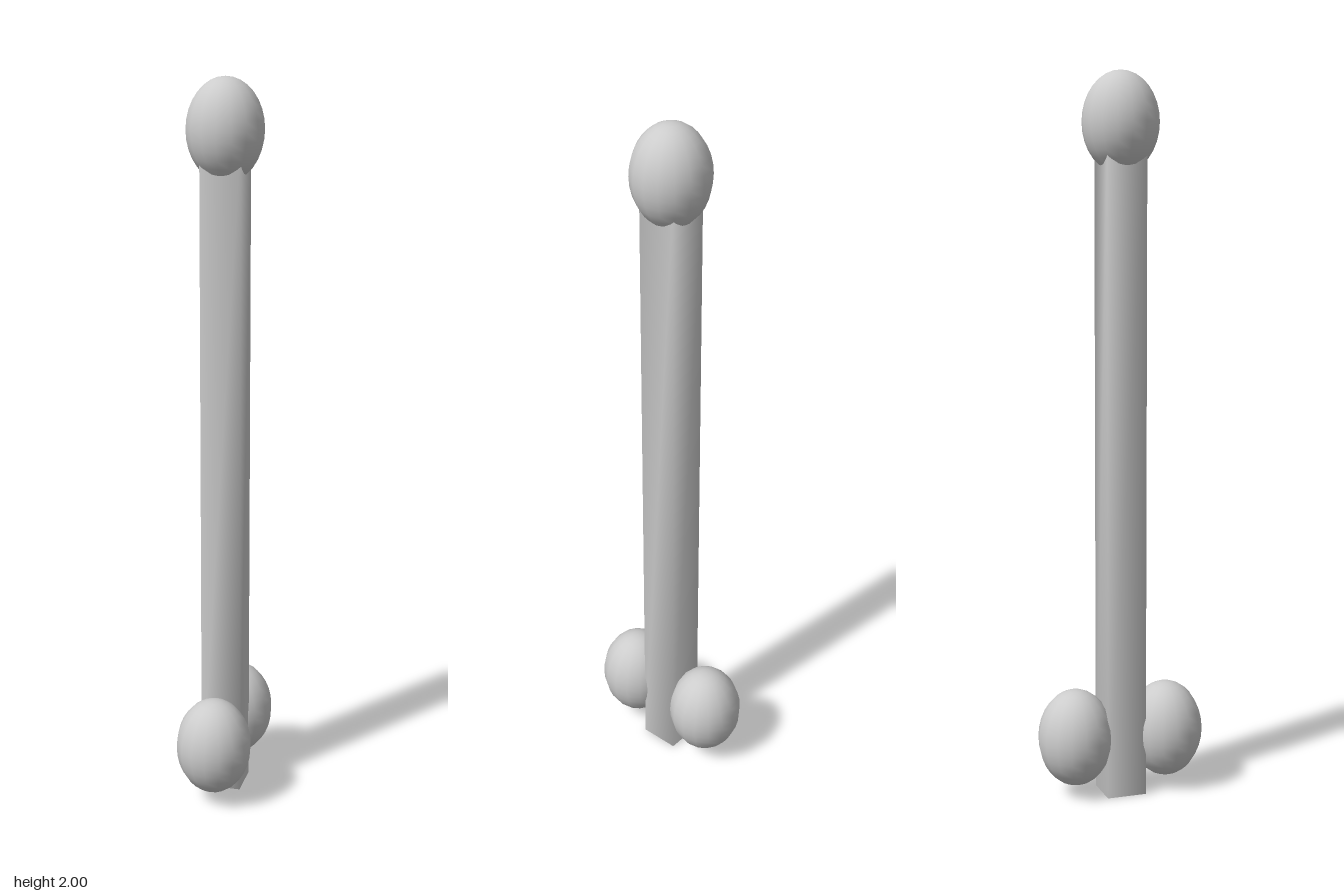
import * as THREE from 'three';
import { mergeVertices } from 'three/addons/utils/BufferGeometryUtils.js';

export function createModel() {
  const model = new THREE.Group();
  const grey = new THREE.MeshStandardMaterial({ color: 0xcccccc });
  grey.name = 'light grey';

  // Square post with soft shading across its shared corners
  const width = 0.112, height = 1.86;
  let postGeometry = new THREE.BoxGeometry(width, height, width);
  postGeometry.deleteAttribute('normal');
  postGeometry.deleteAttribute('uv');
  postGeometry = mergeVertices(postGeometry);
  postGeometry.computeVertexNormals();
  const post = new THREE.Mesh(postGeometry, grey);
  post.name = 'post';
  post.position.y = height / 2;
  model.add(post);

  // Egg-shaped knobs: one on the tip, two flanking the foot
  const knobGeometry = new THREE.SphereGeometry(0.105, 16, 16);
  knobGeometry.scale(1, 1.3, 1);
  const knobs = [
    ['topKnob', 1.864, 0],
    ['frontKnob', 0.17, 0.133],
    ['backKnob', 0.17, -0.133],
  ];
  for (const [name, y, z] of knobs) {
    const knob = new THREE.Mesh(knobGeometry, grey);
    knob.name = name;
    knob.position.set(0, y, z);
    model.add(knob);
  }

  return model;
}
